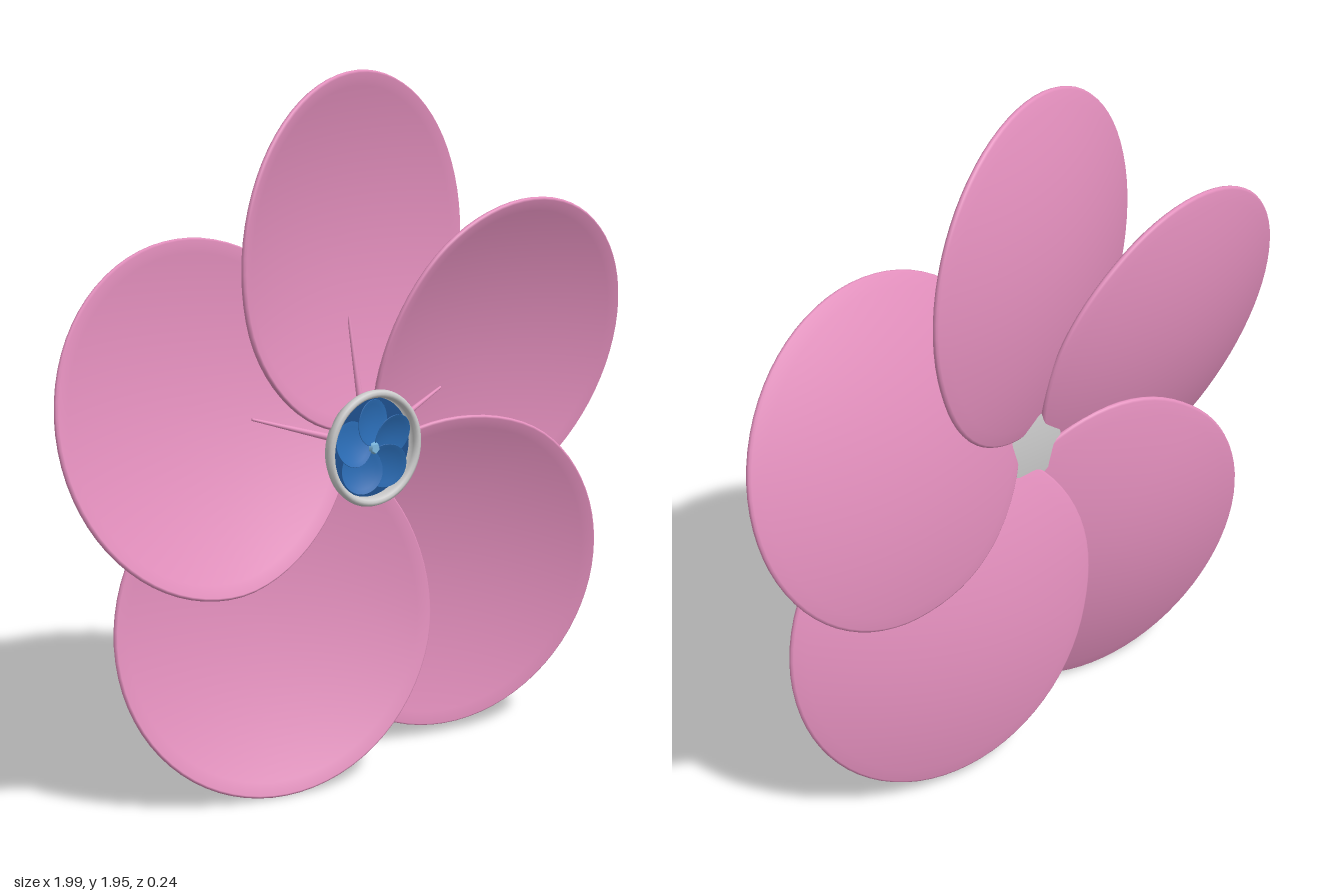
import * as THREE from 'three';
import { mergeVertices } from 'three/addons/utils/BufferGeometryUtils.js';

const HUB_Y = 0.93, COUNT = 5;
const mat = (color) => new THREE.MeshStandardMaterial({ color, side: THREE.DoubleSide });

// Cupped round petal, narrow side at the origin, growing along +y, hollow to +z
function petalGeometry(segments, rings) {
  const R = 0.49, W = 0.475, DEPTH = 0.075, THICK = 0.018, REACH = 0.535, SHIFT = 0.022;
  const profile = [];
  const dish = (t) => -DEPTH * (1 - t * t);
  for (let i = 0; i <= rings; i++) {
    const t = i / rings;
    profile.push(new THREE.Vector2(t * 0.985, dish(t) - THICK / 2));
  }
  profile.push(new THREE.Vector2(0.996, -THICK * 0.28), new THREE.Vector2(1, 0), new THREE.Vector2(0.996, THICK * 0.28));
  for (let i = rings; i >= 0; i--) {
    const t = i / rings;
    profile.push(new THREE.Vector2(t * 0.985, dish(t) + THICK / 2));
  }
  let geo = new THREE.LatheGeometry(profile, segments);
  geo.rotateX(Math.PI / 2);
  const p = geo.attributes.position;
  for (let i = 0; i < p.count; i++) {
    const u = p.getX(i), v = p.getY(i);
    // The disc swings slightly sideways away from its root
    const sway = SHIFT * THREE.MathUtils.smoothstep(v, -1, -0.3);
    p.setXYZ(i, u * W - sway, v * R, p.getZ(i));
  }
  // Pitch about the radial axis, then move outwards
  geo.rotateY(THREE.MathUtils.degToRad(13.3));
  geo.translate(0, REACH, 0);
  geo.deleteAttribute('uv');
  geo.deleteAttribute('normal');
  geo = mergeVertices(geo, 1e-5);
  geo.computeVertexNormals();
  return geo;
}

// Repeats a mesh around the hub axis
function around(name, makeMesh) {
  const group = new THREE.Group();
  group.name = name + 's';
  for (let i = 0; i < COUNT; i++) {
    const arm = makeMesh();
    arm.name = name;
    arm.rotation.z = (i / COUNT) * Math.PI * 2;
    group.add(arm);
  }
  return group;
}

function named(name, geo, material) {
  const mesh = new THREE.Mesh(geo, material);
  mesh.name = name;
  return mesh;
}

export function createModel() {
  const model = new THREE.Group();
  model.name = 'petalFan';
  const fan = new THREE.Group();
  fan.name = 'fan';
  fan.position.y = HUB_Y;
  model.add(fan);

  const pink = mat(0xe38fbd), grey = mat(0xcccccc);
  const blue = mat(0x2a6cb5), darkBlue = mat(0x1d4f8c), paleBlue = mat(0x7db9e0);

  // Large petals
  const petal = petalGeometry(72, 14);
  fan.add(around('petal', () => new THREE.Mesh(petal, pink)));

  // Thin tapering spines lying in the petals
  const from = new THREE.Vector3(0, 0.12, -0.005), to = new THREE.Vector3(0, 0.35, -0.056);
  const dir = to.clone().sub(from);
  const spine = new THREE.CylinderGeometry(0.004, 0.01, dir.length(), 10);
  spine.applyQuaternion(new THREE.Quaternion().setFromUnitVectors(new THREE.Vector3(0, 1, 0), dir.clone().normalize()));
  spine.translate(...from.clone().add(to).multiplyScalar(0.5).toArray());
  fan.add(around('spine', () => new THREE.Mesh(spine, pink)));

  // Hub bowl with a rounded lip, open to the front
  const bowl = [
    [0, -0.02], [0.095, -0.02], [0.115, -0.008], [0.145, 0.022], [0.16, 0.045], [0.163, 0.056],
    [0.159, 0.066], [0.151, 0.069], [0.144, 0.065], [0.14, 0.056], [0.138, 0.03], [0, 0.03],
  ].map(([r, z]) => new THREE.Vector2(r, z));
  const hub = new THREE.LatheGeometry(bowl, 64);
  hub.rotateX(Math.PI / 2);
  fan.add(named('hub', hub, grey));

  // Blue face with a small pinwheel echoing the petals
  const face = new THREE.CylinderGeometry(0.139, 0.139, 0.01, 64);
  face.rotateX(Math.PI / 2);
  face.translate(0, 0, 0.032);
  fan.add(named('hubFace', face, darkBlue));

  const smallPetal = petalGeometry(40, 5);
  const pinwheel = around('smallPetal', () => new THREE.Mesh(smallPetal, blue));
  pinwheel.name = 'pinwheel';
  pinwheel.scale.setScalar(0.133);
  pinwheel.position.z = 0.052;
  fan.add(pinwheel);

  // Centre button
  const button = new THREE.CylinderGeometry(0.014, 0.02, 0.014, 5);
  button.rotateX(Math.PI / 2);
  button.translate(0, 0, 0.056);
  fan.add(named('centreButton', button, paleBlue));

  return model;
}
